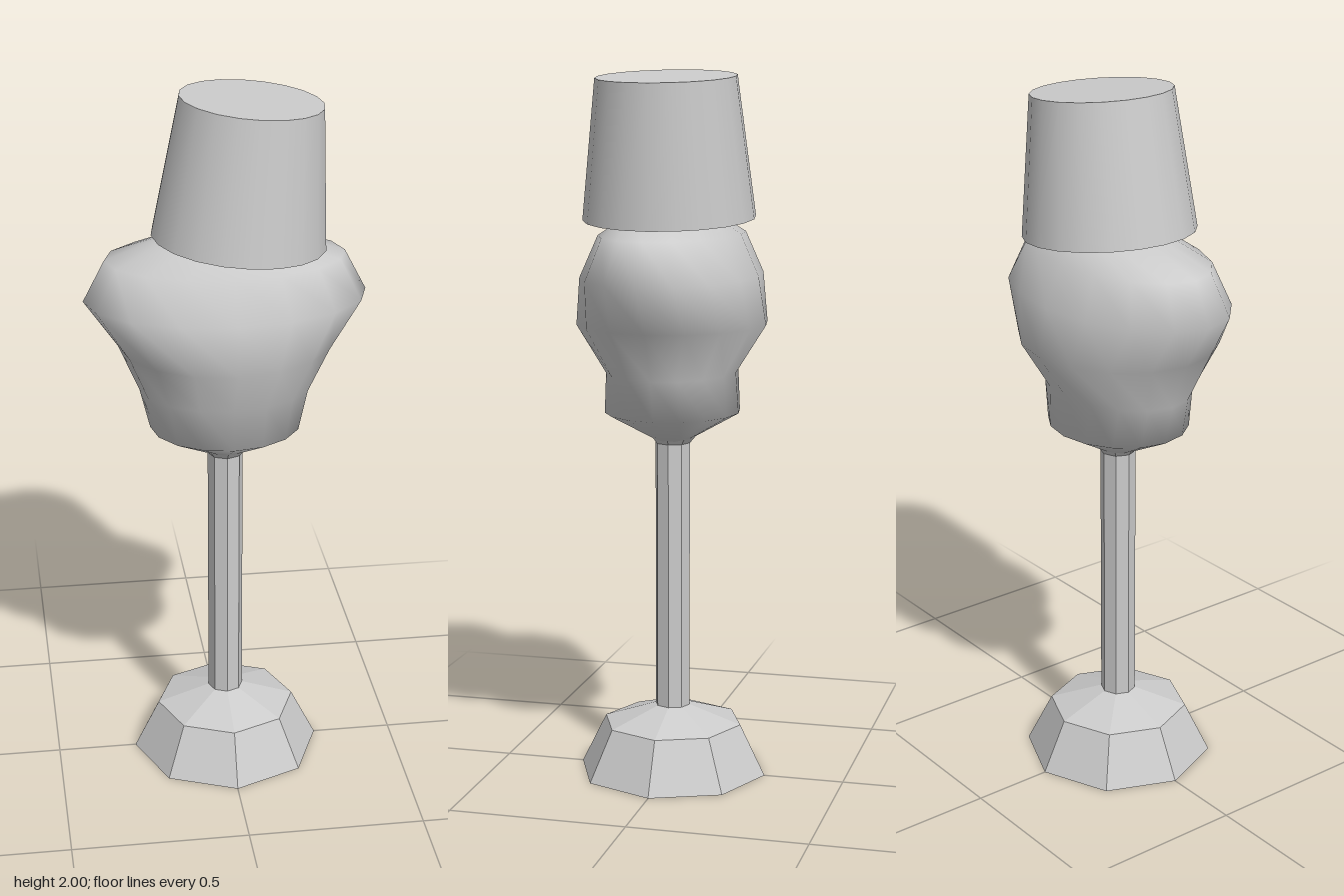
import * as THREE from 'three';
import { mergeVertices } from 'three/addons/utils/BufferGeometryUtils.js';

const flat = new THREE.MeshStandardMaterial({ color: 0xcccccc, flatShading: true });
const smooth = new THREE.MeshStandardMaterial({ color: 0xcccccc });

function lathe(points, sides) {
  return new THREE.LatheGeometry(points.map(([r, y]) => new THREE.Vector2(r, y)), sides);
}

function part(name, geometry, material) {
  const mesh = new THREE.Mesh(geometry, material);
  mesh.name = name;
  return mesh;
}

// Smooth closed body from oval rings given as [y, half width, half depth]
function ovalBody(rings, sides) {
  const geometry = lathe(rings.map(([y, w]) => [w, y]), sides);
  const pos = geometry.attributes.position;
  for (let i = 0; i < pos.count; i++) {
    const [, w, d] = rings[i % rings.length];
    if (w > 0) pos.setZ(i, pos.getZ(i) * d / w);
  }
  geometry.deleteAttribute('uv');
  geometry.deleteAttribute('normal');
  const merged = mergeVertices(geometry, 1e-4);
  merged.computeVertexNormals();
  return merged;
}

export function createModel() {
  const group = new THREE.Group();

  // Octagonal foot
  group.add(part('base', lathe([[0, 0], [0.272, 0], [0.2, 0.145], [0.05, 0.195], [0, 0.195]], 8), flat));

  // Post, flaring where it enters the head
  group.add(part('post', lathe([[0.05, 0.19], [0.05, 0.96], [0.1, 1.02], [0, 1.02]], 8), flat));

  // Head, widest at the ear level
  group.add(part('head', ovalBody([
    [0.96, 0, 0],
    [0.965, 0.045, 0.04],
    [1.05, 0.212, 0.19],
    [1.165, 0.24, 0.182],
    [1.3, 0.297, 0.267],
    [1.435, 0.39, 0.245],
    [1.55, 0.33, 0.195],
    [1.598, 0.17, 0.13],
    [1.612, 0, 0],
  ], 16), smooth));

  // Tapered hat, tipped to one side
  const hat = part('hat', new THREE.CylinderGeometry(0.195, 0.24, 0.387, 20), smooth);
  hat.position.set(0.054, 1.788, 0);
  hat.rotation.z = -0.088;
  group.add(hat);

  return group;
}
